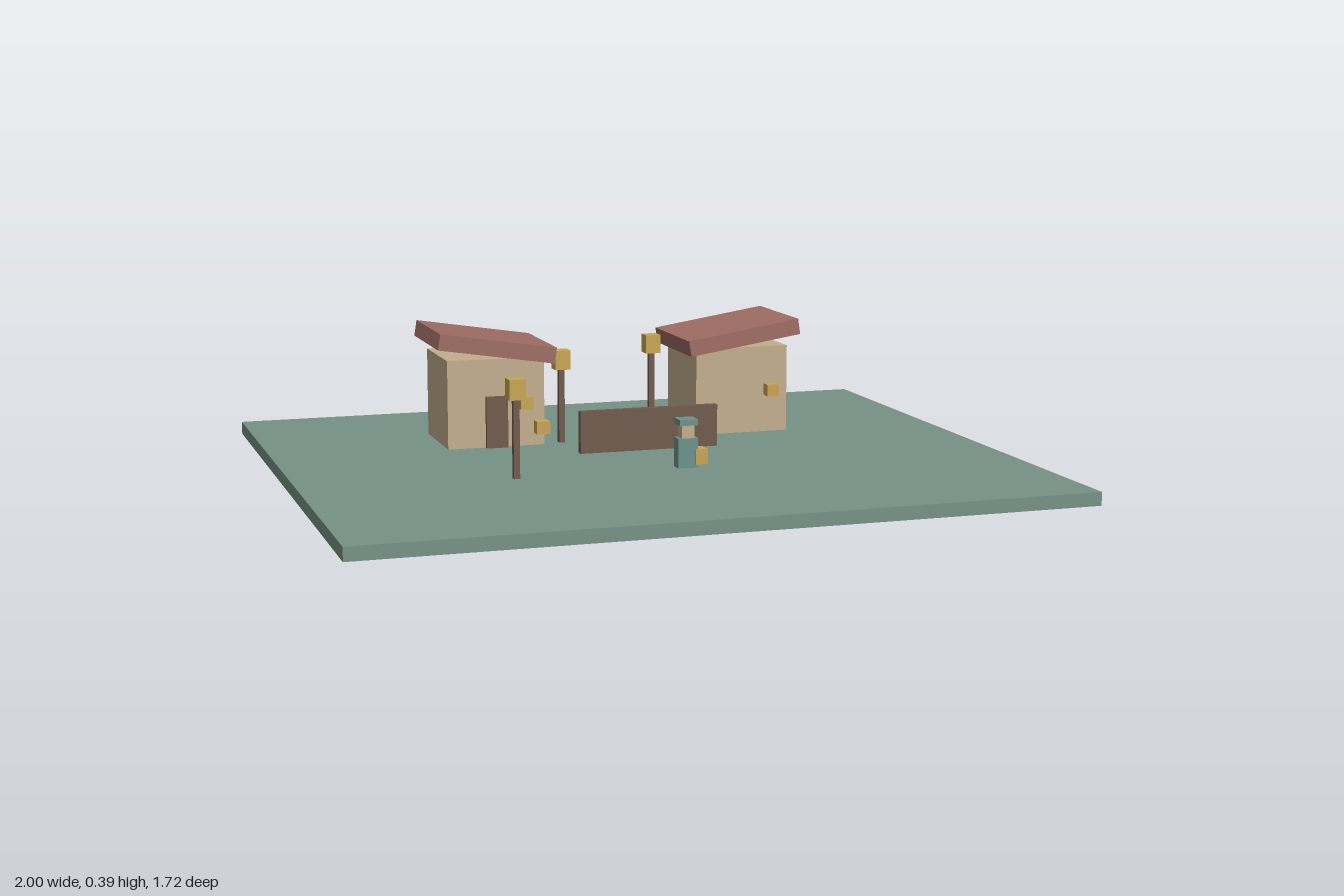
import * as THREE from 'three';

const mat = (name, color) => {
  const m = new THREE.MeshStandardMaterial({ color });
  m.name = name;
  return m;
};

export function createModel() {
  const root = new THREE.Group();
  root.name = 'village';

  const green = mat('ground green', 0x769286);
  const tan = mat('wall tan', 0xc2ae8d);
  const red = mat('roof red', 0x9e6c63);
  const brown = mat('wood brown', 0x705a4b);
  const gold = mat('lantern gold', 0xc8a552);
  const teal = mat('coat teal', 0x6d928c);

  const box = (parent, name, material, size, pos) => {
    const mesh = new THREE.Mesh(new THREE.BoxGeometry(...size), material);
    mesh.name = name;
    mesh.position.set(...pos);
    parent.add(mesh);
    return mesh;
  };
  const group = (name, x, z) => {
    const g = new THREE.Group();
    g.name = name;
    g.position.set(x, 0, z);
    root.add(g);
    return g;
  };

  box(root, 'ground', green, [2, 0.037, 1.715], [0, 0.0185, 0]);

  // Two huts with roofs sloping towards the middle; one door faces front, one back
  for (const side of [-1, 1]) {
    const hut = group(side < 0 ? 'rightHut' : 'leftHut', side * 0.372, -0.286);
    box(hut, 'walls', tan, [0.283, 0.254, 0.26], [0, 0.178, 0]);
    box(hut, 'roof', red, [0.343, 0.046, 0.314], [0, 0.337, 0]).rotation.z = side * 0.155;
    box(hut, 'door', brown, [0.063, 0.148, 0.015], [0, 0.124, -side * 0.1345]);
  }

  // Lamp posts
  for (const [x, z] of [[-0.43, 0.286], [-0.175, -0.175], [0.171, -0.4]]) {
    const lamp = group('lampPost', x, z);
    box(lamp, 'post', brown, [0.017, 0.215, 0.017], [0, 0.158, 0]);
    box(lamp, 'lantern', gold, [0.045, 0.055, 0.045], [0, 0.292, 0]);
  }

  // Small floating lights
  for (const [x, z] of [[-0.358, 0.285], [-0.302, -0.093], [0.441, -0.093]]) {
    box(root, 'floatingLight', gold, [0.036, 0.034, 0.034], [x, 0.186, z]);
  }

  box(root, 'fence', brown, [0.4, 0.118, 0.021], [0, 0.129, 0.1]);

  // Villager carrying a lantern
  const villager = group('villager', -0.002, 0.428);
  box(villager, 'body', teal, [0.055, 0.08, 0.036], [0, 0.123, 0]);
  box(villager, 'head', tan, [0.035, 0.036, 0.034], [0, 0.181, 0]);
  box(villager, 'hat', teal, [0.05, 0.016, 0.047], [0, 0.206, 0]);
  box(villager, 'handLantern', gold, [0.034, 0.041, 0.045], [0.037, 0.112, 0]);

  return root;
}
